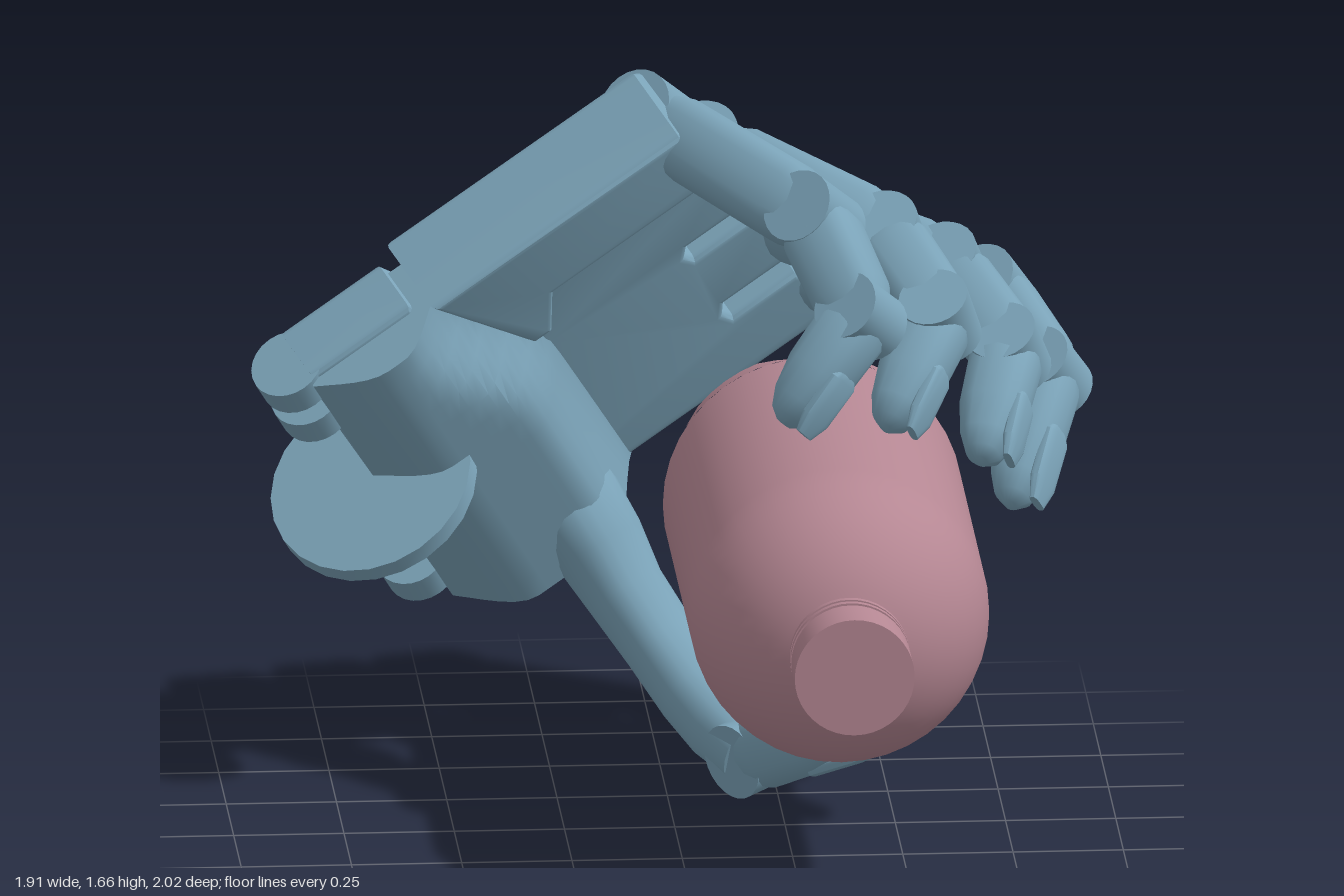
import * as THREE from 'three';
import { toCreasedNormals } from 'three/addons/utils/BufferGeometryUtils.js';

const V = (x, y, z) => new THREE.Vector3(x, y, z);
const handMat = new THREE.MeshStandardMaterial({ color: 0x7ba3b8 });
const bottleMat = new THREE.MeshStandardMaterial({ color: 0xb58793 });

function add(parent, name, geo, mat = handMat, crease = 0.6) {
  const mesh = new THREE.Mesh(toCreasedNormals(geo, crease), mat);
  mesh.name = name;
  parent.add(mesh);
  return mesh;
}

// Closed tube of rounded-square sections; each section is { c, dir, w, d }
function loft(sections, side, power = 3, n = 20) {
  const pos = [], idx = [];
  const soft = t => Math.sign(t) * Math.abs(t) ** (2 / power);
  for (const { c, dir, w, d } of sections) {
    const s = side.clone().addScaledVector(dir, -side.dot(dir)).normalize();
    const up = dir.clone().cross(s);
    for (let j = 0; j < n; j++) {
      const a = (j / n) * Math.PI * 2;
      const p = c.clone().addScaledVector(s, w * soft(Math.cos(a))).addScaledVector(up, d * soft(Math.sin(a)));
      pos.push(p.x, p.y, p.z);
    }
  }
  const last = sections.length - 1;
  for (let i = 0; i < last; i++) for (let j = 0; j < n; j++) {
    const k = (j + 1) % n, a = i * n, b = a + n;
    idx.push(a + j, a + k, b + k, a + j, b + k, b + j);
  }
  for (let j = 1; j < n - 1; j++) {
    idx.push(0, j + 1, j);
    idx.push(last * n, last * n + j, last * n + j + 1);
  }
  const geo = new THREE.BufferGeometry();
  geo.setAttribute('position', new THREE.Float32BufferAttribute(pos, 3));
  geo.setIndex(idx);
  return geo;
}

// Straight bone from a to b; profile rows are [t, half width, half depth]
function bone(a, b, side, profile, lift = 0, power = 3) {
  const dir = b.clone().sub(a).normalize();
  const up = dir.clone().cross(side).normalize();
  return loft(profile.map(([t, w, d]) => ({
    c: a.clone().lerp(b, t).addScaledVector(up, lift), dir, w, d })), side, power);
}

function pin(parent, name, at, axis, r, width) {
  const m = add(parent, name, new THREE.CylinderGeometry(r, r, width, 24));
  m.position.copy(at);
  m.quaternion.setFromUnitVectors(V(0, 1, 0), axis);
}

const TIP = [[-0.02, 0.06, 0.07], [0.15, 0.076, 0.082], [0.6, 0.074, 0.078], [0.9, 0.064, 0.06],
  [1.06, 0.045, 0.04], [1.13, 0.02, 0.015]];
const NAIL = [[0.5, 0.035, 0.012], [0.56, 0.048, 0.018], [0.95, 0.046, 0.018], [1.12, 0.028, 0.01]];

function finger(name, knuckle, p1, p2, tip) {
  const g = new THREE.Group();
  g.name = name;
  const side = p1.clone().sub(knuckle).cross(tip.clone().sub(p1)).normalize();
  pin(g, 'knuckle', knuckle, side, 0.092, 0.15);
  add(g, 'proximalBone', bone(knuckle, p1, side,
    [[0.04, 0.06, 0.07], [0.2, 0.09, 0.092], [0.85, 0.094, 0.094], [1.0, 0.075, 0.08]]));
  pin(g, 'middleJoint', p1, side, 0.086, 0.165);
  add(g, 'middleBone', bone(p1, p2, side,
    [[0.05, 0.075, 0.075], [0.2, 0.086, 0.088], [0.8, 0.083, 0.085], [0.98, 0.065, 0.07]]));
  pin(g, 'endJoint', p2, side, 0.08, 0.145);
  add(g, 'fingertip', bone(p2, tip, side, TIP, 0, 2.5), handMat, 0.8);
  add(g, 'nail', bone(p2, tip, side, NAIL, 0.066));
  return g;
}

function extrude(points, depth, z0) {
  const shape = new THREE.Shape(points.map(p => new THREE.Vector2(...p)));
  const b = 0.018;
  return new THREE.ExtrudeGeometry(shape, { depth: depth - 2 * b, bevelSize: b, bevelOffset: -b,
    bevelThickness: b, bevelSegments: 3 }).translate(0, 0, z0 + b);
}

// Palm in its own frame: x to the fingers, y to the little finger, z out of the palm
function makePalm() {
  const palm = new THREE.Group();
  palm.name = 'palm';
  const x = V(0.83, 0.544, -0.125).normalize();
  const z = x.clone().cross(V(-0.422, 0.68, 0.598)).normalize();
  const y = z.clone().cross(x);
  palm.quaternion.setFromRotationMatrix(new THREE.Matrix4().makeBasis(x, y, z));
  palm.position.copy(z).multiplyScalar(-1.1);

  // back plate with a lobe for each of three fingers, slots between
  add(palm, 'palmPlate', extrude([[-0.09, 0], [0.95, 0], [0.98, 0.03], [0.98, 0.17], [0.95, 0.2],
    [0.78, 0.2], [0.765, 0.23], [0.78, 0.26], [0.97, 0.26], [1.0, 0.29], [1.0, 0.43], [0.97, 0.46],
    [0.78, 0.46], [0.765, 0.485], [0.78, 0.51], [0.96, 0.51], [0.99, 0.54], [0.99, 0.67], [0.96, 0.7],
    [0.43, 0.7], [0.38, 0.54], [0.33, 0.54], [0.18, 0.92], [-0.09, 0.92]], 0.16, 0));
  // separate little finger block with a slanted seam
  add(palm, 'littleFingerBlock', extrude([[0.37, 0.62], [0.22, 0.94], [0.9, 0.94], [0.93, 0.91],
    [0.93, 0.77], [0.9, 0.735], [0.47, 0.735], [0.42, 0.62]], 0.24, -0.02));

  // heel of the palm, swelling towards the thumb
  const step = THREE.MathUtils.smoothstep;
  const heel = new THREE.BoxGeometry(1, 1, 1, 22, 14, 1);
  const p = heel.attributes.position;
  for (let i = 0; i < p.count; i++) {
    const u = -0.1 + (p.getX(i) + 0.5) * 0.58, v = 0.005 + (p.getY(i) + 0.5) * 0.9;
    const fade = 0.26 - 0.16 * step(v, 0.5, 0.85);
    const h = 0.13 + (0.13 + 0.08 * (1 - v / 0.9)) * step(u, -0.2, 0.06) * (1 - step(u, fade, fade + 0.2));
    p.setXYZ(i, u, v, p.getZ(i) > 0 ? h : 0.03);
  }
  add(palm, 'palmHeel', heel, handMat, 0.7);

  // wrist hinge lugs and the large centre disc
  for (const v of [0.04, 0.18, 0.75, 0.88]) {
    pin(palm, 'wristLug', V(-0.12, v, 0.085), V(0, 1, 0), 0.085, 0.075);
  }
  pin(palm, 'wristDisc', V(-0.11, 0.5, 0.19), V(0, 1, 0), 0.24, 0.045);
  return palm;
}

function makeThumb() {
  const g = new THREE.Group();
  g.name = 'thumb';
  const side = V(-0.186, -0.035, 0.155).normalize();
  const path = new THREE.CatmullRomCurve3([V(-0.36, 0.66, -0.72), V(-0.2, 0.58, -0.67),
    V(-0.07, 0.38, -0.6), V(0.08, 0.19, -0.44), V(0.2, 0.1, -0.26)]);
  const widths = [0.15, 0.145, 0.125, 0.105, 0.09, 0.085, 0.09, 0.095, 0.085];
  add(g, 'thumbBones', loft(widths.map((w, i) => {
    const t = i / (widths.length - 1);
    return { c: path.getPoint(t), dir: path.getTangent(t), w, d: w * 0.95 };
  }), side, 2.4), handMat, 0.8);
  const joint = V(0.2, 0.1, -0.26), tip = V(0.42, 0.24, -0.02);
  pin(g, 'thumbJoint', joint, side, 0.088, 0.15);
  add(g, 'thumbTip', bone(joint, tip, side, TIP.map(([t, w, d]) => [t, w * 1.2, d * 1.12]), 0, 2.5), handMat, 0.8);
  add(g, 'thumbNail', bone(joint, tip, side, NAIL.map(([t, w, d]) => [t, w * 1.25, d]), 0.074));
  return g;
}

function makeBottle() {
  const g = new THREE.Group();
  g.name = 'bottle';
  g.position.set(0.34, 0.645, 0);
  const lathe = (name, pts, seg = 40, change) => {
    const geo = new THREE.LatheGeometry(pts.map(q => new THREE.Vector2(...q)), seg);
    if (change) change(geo.attributes.position);
    add(g, name, geo.rotateX(Math.PI / 2), bottleMat, change ? 0.25 : 0.5);
  };
  // body with a round shoulder
  const body = [[0.34, -0.4], [0.34, 0.48]];
  for (let i = 1; i <= 10; i++) {
    const a = (i / 10) * 1.26;
    body.push([0.34 * Math.cos(a), 0.48 + 0.335 * Math.sin(a)]);
  }
  lathe('body', body);
  // neck, rings and cap
  lathe('neck', [[0.102, 0.78], [0.102, 0.9]]);
  for (const z of [0.822, 0.85]) {
    lathe('neckRing', [[0.09, z], [0.136, z], [0.136, z + 0.016], [0.09, z + 0.016]]);
  }
  lathe('cap', [[0.09, 0.882], [0.136, 0.882], [0.136, 1], [0, 1]]);
  // five-footed base with V grooves
  lathe('base', [[0, -0.46], [0.07, -0.475], [0.18, -0.55], [0.24, -0.55], [0.3, -0.52], [0.33, -0.47],
    [0.34, -0.4]], 50, pos => {
    for (let i = 0; i < pos.count; i++) {
      const x = pos.getX(i), z = pos.getZ(i), r = Math.hypot(x, z), y = pos.getY(i);
      const turn = (Math.atan2(x, z) / (Math.PI * 2)) * 5 + 10.0001;
      const groove = Math.max(0, 1 - Math.abs((turn % 1) - 0.5) / 0.3);
      if (r > 0.01) pos.setY(i, y + (-0.4 - y) * groove * 0.85);
    }
  });
  return g;
}

export function createModel() {
  const model = new THREE.Group();
  model.name = 'handHoldingBottle';
  model.add(makeBottle(), makePalm(), makeThumb());
  model.add(
    finger('littleFinger', V(-0.025, 1.54, -0.45), V(0.32, 1.42, -0.04), V(0.41, 1.25, 0.17), V(0.25, 1.05, 0.24)),
    finger('ringFinger', V(0.11, 1.41, -0.61), V(0.5, 1.3, -0.24), V(0.6, 1.2, 0.02), V(0.48, 1.02, 0.19)),
    finger('middleFinger', V(0.23, 1.24, -0.76), V(0.65, 1.17, -0.42), V(0.77, 1.06, -0.18), V(0.7, 0.89, 0.03)),
    finger('indexFinger', V(0.32, 1.05, -0.9), V(0.76, 1.07, -0.58), V(0.87, 0.95, -0.36), V(0.78, 0.74, -0.14)));
  return model;
}
